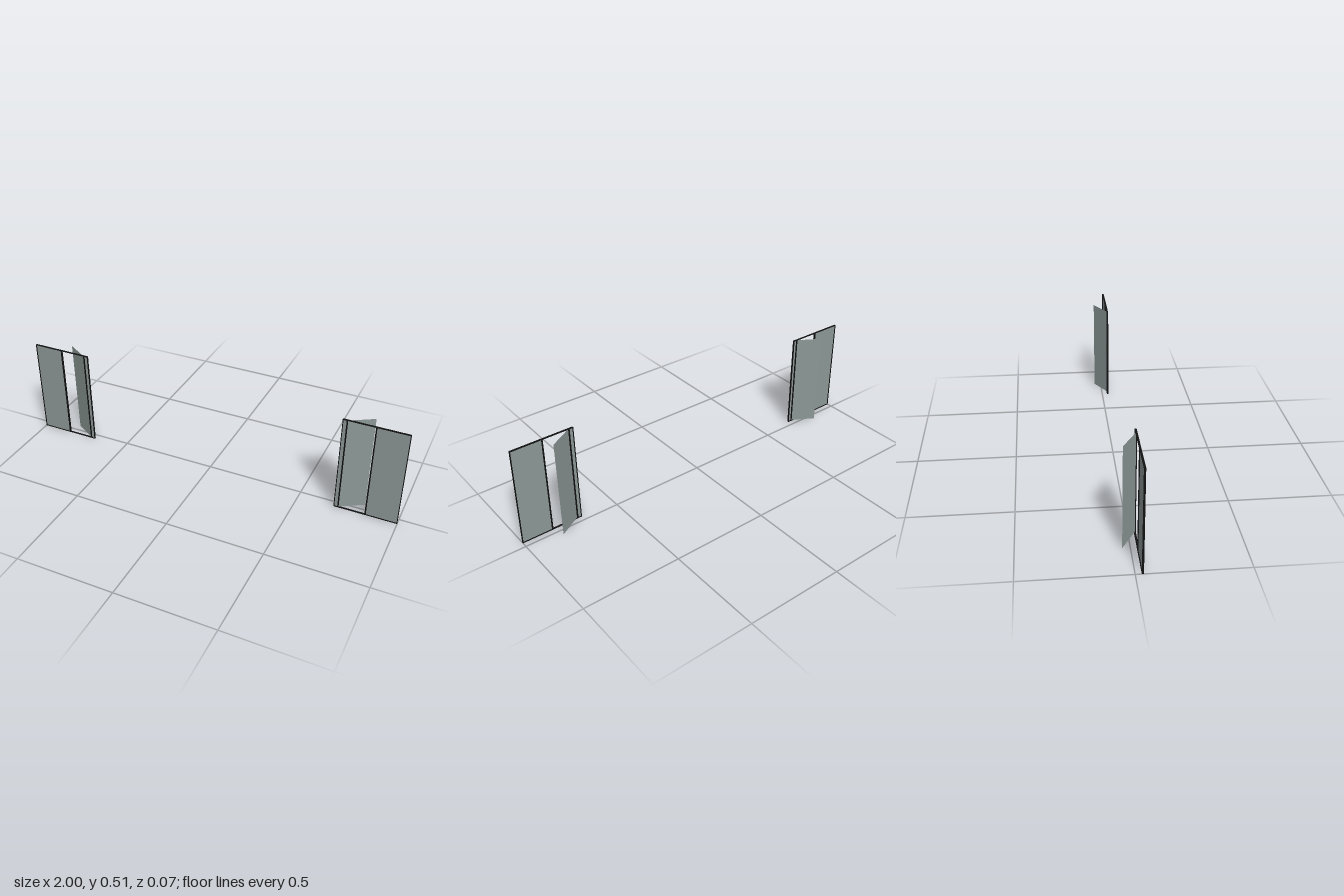
import * as THREE from 'three';

const H = 0.512;           // window height
const BAR = 0.003;         // outer frame bar
const MULLION = 0.006;     // upright bar
const DEPTH = 0.009;       // frame depth
const Z = 0.032;           // frame plane
const INNER = 0.683, OUTER = 1;
const HINGE = 0.705, POST = 0.842;

export function createModel() {
  const root = new THREE.Group();
  const frameMat = new THREE.MeshStandardMaterial({ color: 0x111111 });
  const glassMat = new THREE.MeshStandardMaterial({ color: 0x8c9896, side: THREE.DoubleSide });

  function buildWindow(side, name) {
    const group = new THREE.Group();
    group.name = name;
    const add = (part, geometry, material, x, y, z) => {
      const mesh = new THREE.Mesh(geometry, material);
      mesh.name = part;
      mesh.position.set(side * x, y, z);
      group.add(mesh);
      return mesh;
    };

    // Outer frame: rails and stiles
    const width = OUTER - INNER;
    for (const [part, y] of [['bottomRail', BAR / 2], ['topRail', H - BAR / 2]])
      add(part, new THREE.BoxGeometry(width, BAR, DEPTH), frameMat, (INNER + OUTER) / 2, y, Z);
    for (const [part, x, w] of [
      ['innerStile', INNER + BAR / 2, BAR], ['outerStile', OUTER - BAR / 2, BAR],
      ['hingeMullion', HINGE, MULLION], ['middleMullion', POST, MULLION],
    ]) add(part, new THREE.BoxGeometry(w, H - 2 * BAR, DEPTH), frameMat, x, H / 2, Z);

    // Fixed panes
    for (const [part, a, b] of [
      ['narrowPane', INNER + BAR, HINGE - MULLION / 2],
      ['fixedPane', POST + MULLION / 2, OUTER - BAR],
    ]) add(part, new THREE.PlaneGeometry(b - a, H - 2 * BAR), glassMat, (a + b) / 2, H / 2, Z);

    // Open casement pane, swung towards the back about the hinge mullion
    const start = [HINGE + MULLION / 2, Z], end = [0.822, -0.036];
    const dx = end[0] - start[0], dz = end[1] - start[1];
    const pane = add('openPane', new THREE.PlaneGeometry(Math.hypot(dx, dz), H - 2 * BAR),
      glassMat, (start[0] + end[0]) / 2, H / 2, (start[1] + end[1]) / 2);
    pane.rotation.y = Math.atan2(-dz, side * dx);

    root.add(group);
  }

  buildWindow(1, 'leftWindow');
  buildWindow(-1, 'rightWindow');
  return root;
}
